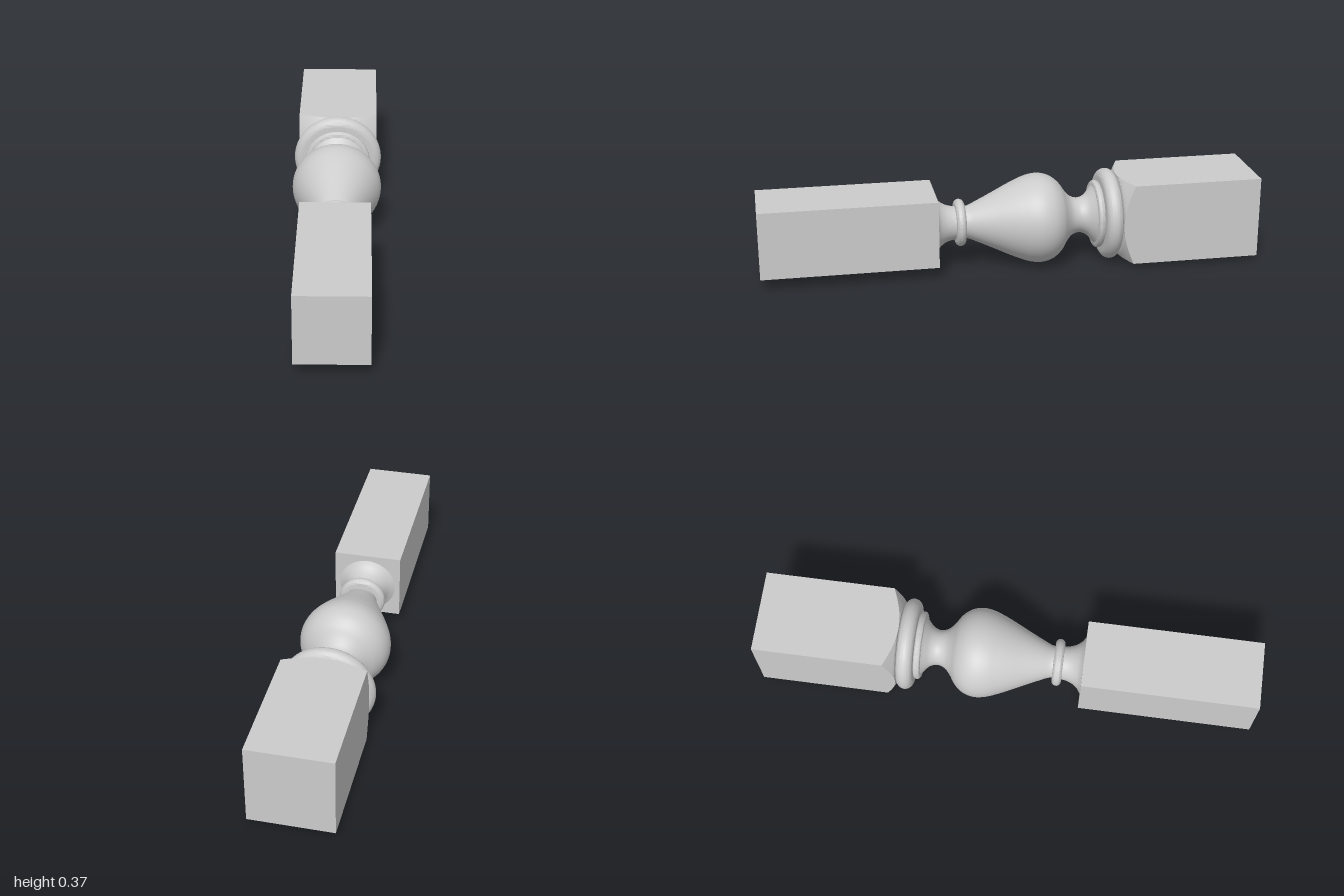
import * as THREE from 'three';
import { toCreasedNormals } from 'three/addons/utils/BufferGeometryUtils.js';

const AXIS_Y = 0.184;
const material = new THREE.MeshStandardMaterial({ color: 0xcccccc });

export function createModel() {
  const group = new THREE.Group();

  function add(name, geometry, y = 0, z = 0) {
    const mesh = new THREE.Mesh(geometry, material);
    mesh.name = name;
    mesh.position.set(0, AXIS_Y + y, z);
    group.add(mesh);
  }

  // turned section: radius/z pairs revolved around the z axis, back to front
  function turned(name, points) {
    const geometry = new THREE.LatheGeometry(points, 96);
    geometry.rotateX(Math.PI / 2);
    add(name, geometry);
  }
  const smooth = (pairs, n) =>
    new THREE.SplineCurve(pairs.map(([r, z]) => new THREE.Vector2(r, z))).getPoints(n);

  // rounded ring with a half-elliptical edge
  function bead(name, z, halfWidth, inner, outer) {
    const points = [new THREE.Vector2(0.04, z - halfWidth)];
    for (let i = 0; i <= 20; i++) {
      const a = -Math.PI / 2 + (Math.PI * i) / 20;
      points.push(new THREE.Vector2(
        inner + (outer - inner) * Math.cos(a), z + halfWidth * Math.sin(a)));
    }
    points.push(new THREE.Vector2(0.04, z + halfWidth));
    const geometry = new THREE.LatheGeometry(points, 96).rotateX(Math.PI / 2);
    add(name, toCreasedNormals(geometry, 0.7));
  }

  // slim square block at the front
  add('frontBlock', new THREE.BoxGeometry(0.274, 0.274, 0.7), 0.003, 0.65);

  // thick square block at the back, its inner corners turned to a cone
  const block = new THREE.BoxGeometry(0.33, 0.33, 0.56, 32, 32, 1);
  const p = block.attributes.position;
  for (let i = 0; i < p.count; i++) {
    if (p.getZ(i) > 0) {
      const r = Math.hypot(p.getX(i), p.getY(i));
      p.setZ(i, p.getZ(i) - 0.62 * Math.max(0, r - 0.165));
    }
  }
  add('backBlock', toCreasedNormals(block, 0.4), 0.001, -0.72);

  // beads
  bead('largeRing', -0.406, 0.033, 0.15, 0.184);
  bead('smallRing', -0.36, 0.014, 0.125, 0.138);
  bead('frontRing', 0.2, 0.019, 0.077, 0.095);

  // vase-shaped body with its flared neck
  turned('vaseBody', smooth([
    [0.122, -0.35], [0.102, -0.335], [0.08, -0.313], [0.071, -0.285],
    [0.08, -0.255], [0.105, -0.23], [0.143, -0.203], [0.17, -0.168],
    [0.181, -0.125], [0.176, -0.08], [0.16, -0.035], [0.14, 0.01],
    [0.111, 0.07], [0.083, 0.13], [0.066, 0.17], [0.064, 0.2],
  ], 96));

  // cove flaring out to the front block
  turned('frontCove', smooth([
    [0.067, 0.2], [0.067, 0.22], [0.071, 0.243], [0.08, 0.265],
    [0.096, 0.286], [0.118, 0.301],
  ], 32));

  return group;
}
